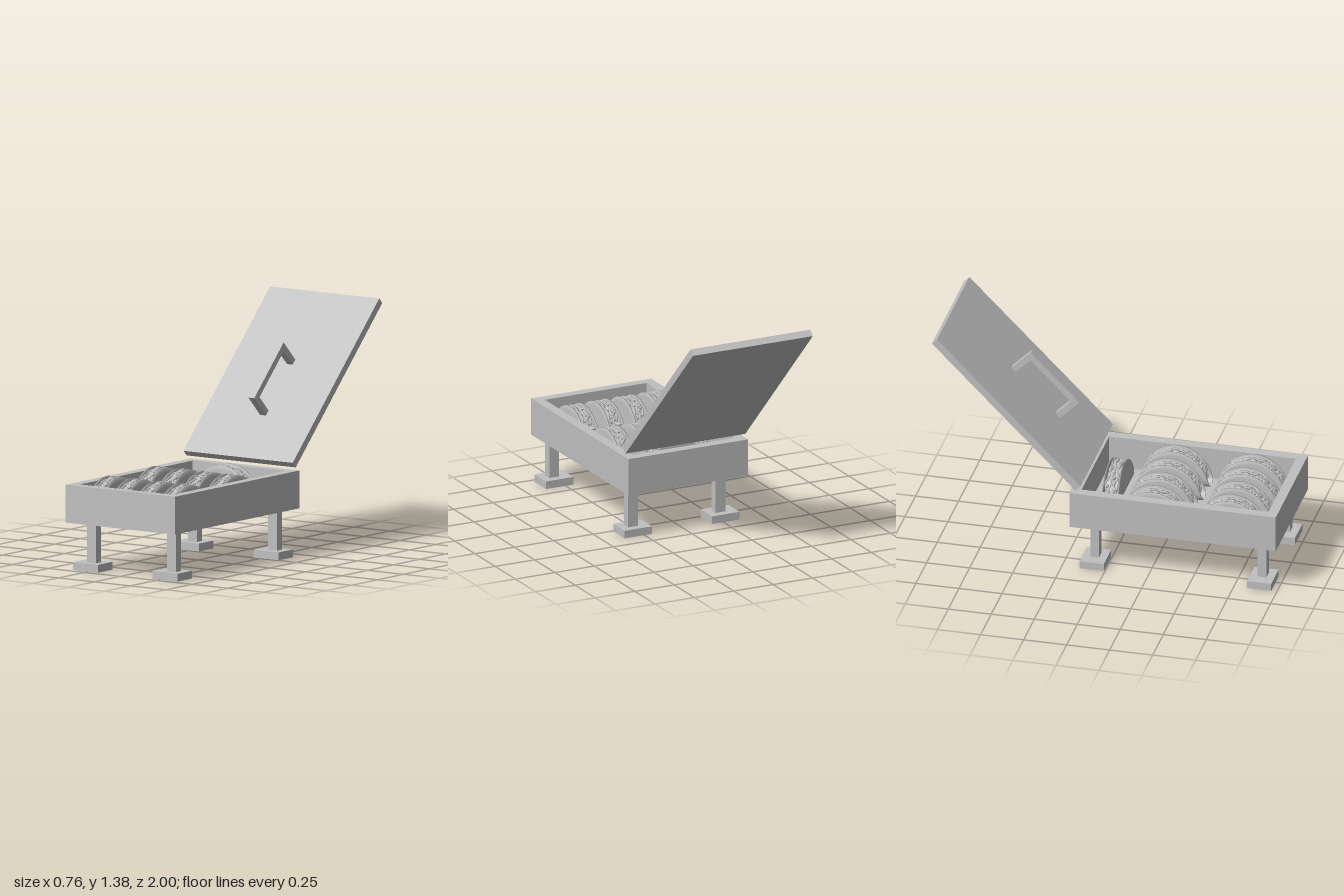
import * as THREE from 'three';
import { mergeGeometries } from 'three/addons/utils/BufferGeometryUtils.js';

const grey = new THREE.MeshStandardMaterial({ color: 0xc0c0c0 });
grey.name = 'plain grey';

// Box given by its two extents on each axis
function block(parent, name, [x0, x1], [y0, y1], [z0, z1]) {
  const mesh = new THREE.Mesh(new THREE.BoxGeometry(x1 - x0, y1 - y0, z1 - z0), grey);
  mesh.position.set((x0 + x1) / 2, (y0 + y1) / 2, (z0 + z1) / 2);
  mesh.name = name;
  parent.add(mesh);
  return mesh;
}

// Small seeded generator for the filling
let seed = 7;
function rand(a, b) {
  seed = (seed * 16807) % 2147483647;
  return a + (b - a) * (seed / 2147483647);
}

// Folded round shell: a U-shaped ribbon swept along z, with a half-round top edge
function shellGeometry() {
  const rows = 28, half = 20, thick = 0.008, pos = [], idx = [];
  const ring = 2 * (half + 1);
  for (let i = 0; i <= rows; i++) {
    const angle = 0.06 + (Math.PI - 0.12) * (i / rows);
    const z = -0.205 * Math.cos(angle);
    const reach = 0.23 * Math.sin(angle);
    for (let j = 0; j < ring; j++) {
      const inner = j > half;
      const k = inner ? ring - 1 - j : j;
      const len = reach * (2 * k / half - 1);
      const width = 0.056 - 0.045 * Math.abs(len) - (inner ? thick : 0);
      const lift = inner ? thick * Math.exp(-Math.abs(len) / 0.03) : 0;
      pos.push(width * Math.tanh(len / 0.035), Math.hypot(len, 0.02) - 0.02 + lift, z);
    }
  }
  for (let i = 0; i < rows; i++) {
    for (let j = 0; j < ring; j++) {
      const a = i * ring + j, b = i * ring + (j + 1) % ring;
      idx.push(a, b, a + ring, b, b + ring, a + ring);
    }
  }
  const geo = new THREE.BufferGeometry();
  geo.setAttribute('position', new THREE.Float32BufferAttribute(pos, 3));
  geo.setIndex(idx);
  geo.computeVertexNormals();
  return geo;
}

// Filling: half-round core, lumps and wavy leaves along the top edge
function fillingGeometry() {
  const parts = [];
  const arc = new THREE.Shape();
  arc.absarc(0, 0.025, 0.165, 0, Math.PI);
  arc.closePath();
  const core = new THREE.ExtrudeGeometry(arc, { depth: 0.066, bevelEnabled: false, curveSegments: 20 });
  core.translate(0, 0, -0.033).rotateY(Math.PI / 2);
  parts.push(core);

  for (let i = 0; i < 34; i++) {
    const a = 0.12 + (Math.PI - 0.24) * (i / 33);
    const lump = new THREE.SphereGeometry(1, 8, 6);
    lump.scale(rand(0.008, 0.014), rand(0.007, 0.012), rand(0.012, 0.024));
    lump.rotateY(rand(0, 3)).rotateX(rand(-0.5, 0.5));
    lump.translate(rand(-0.026, 0.026), 0.025 + 0.17 * Math.sin(a), 0.175 * Math.cos(a));
    parts.push(lump);
  }

  for (const x of [-0.026, 0, 0.026]) {
    const points = [];
    for (let i = 0; i <= 18; i++) {
      const a = 0.1 + (Math.PI - 0.2) * (i / 18);
      const r = rand(0.168, 0.182);
      points.push(new THREE.Vector3(x + rand(-0.01, 0.01), 0.025 + r * Math.sin(a), r * 1.03 * Math.cos(a)));
    }
    parts.push(new THREE.TubeGeometry(new THREE.CatmullRomCurve3(points), 54, 0.006, 5));
  }
  return mergeGeometries(parts.map((g) => (g.index ? g.toNonIndexed() : g)));
}

export function createModel() {
  const model = new THREE.Group();
  model.name = 'tacoWarmer';

  // Open tray
  const tray = new THREE.Group();
  tray.name = 'tray';
  model.add(tray);
  const wallY = [0.273, 0.489];
  block(tray, 'trayFloor', [-0.33, 0.33], [0.273, 0.3], [-0.15, 0.95]);
  block(tray, 'leftWall', [0.323, 0.38], wallY, [-0.2, 1]);
  block(tray, 'rightWall', [-0.38, -0.322], wallY, [-0.2, 1]);
  block(tray, 'frontWall', [-0.322, 0.323], wallY, [0.943, 1]);
  block(tray, 'backWall', [-0.322, 0.323], wallY, [-0.2, -0.143]);

  // Legs on square feet
  for (const [legX, footX] of [[-0.256, -0.267], [0.3, 0.288]]) {
    for (const z of [0.897, -0.076]) {
      block(model, 'leg', [legX - 0.031, legX + 0.031], [0.045, 0.273], [z - 0.025, z + 0.025]);
      block(model, 'foot', [footX - 0.087, footX + 0.087], [0, 0.045], [z - 0.07, z + 0.07]);
    }
  }

  // Raised lid, tilted 45 degrees, with its handle
  const lid = new THREE.Group();
  lid.name = 'lid';
  lid.position.set(0, 0.943, -0.567);
  lid.rotation.x = Math.PI / 4;
  block(lid, 'lidPanel', [-0.38, 0.38], [-0.021, 0.021], [-0.59, 0.59]);
  block(lid, 'handleBar', [0, 0.04], [0.144, 0.18], [-0.112, 0.289]);
  block(lid, 'upperHandlePost', [0, 0.04], [0.021, 0.144], [-0.112, -0.076]);
  block(lid, 'lowerHandlePost', [0, 0.04], [0.021, 0.144], [0.253, 0.289]);
  model.add(lid);

  // Two rows of four tacos, and one crosswise at the back
  const shell = shellGeometry(), filling = fillingGeometry();
  const addTaco = (x, z, turn) => {
    const taco = new THREE.Group();
    taco.name = 'taco';
    for (const [name, geo] of [['tacoShell', shell], ['tacoFilling', filling]]) {
      const mesh = new THREE.Mesh(geo, grey);
      mesh.name = name;
      taco.add(mesh);
    }
    taco.position.set(x, 0.3, z);
    taco.rotation.y = turn;
    model.add(taco);
  };
  for (const z of [0.268, 0.715]) {
    for (const x of [-0.257, -0.095, 0.071, 0.235]) addTaco(x, z, 0);
  }
  addTaco(0.005, -0.017, Math.PI / 2);

  return model;
}
